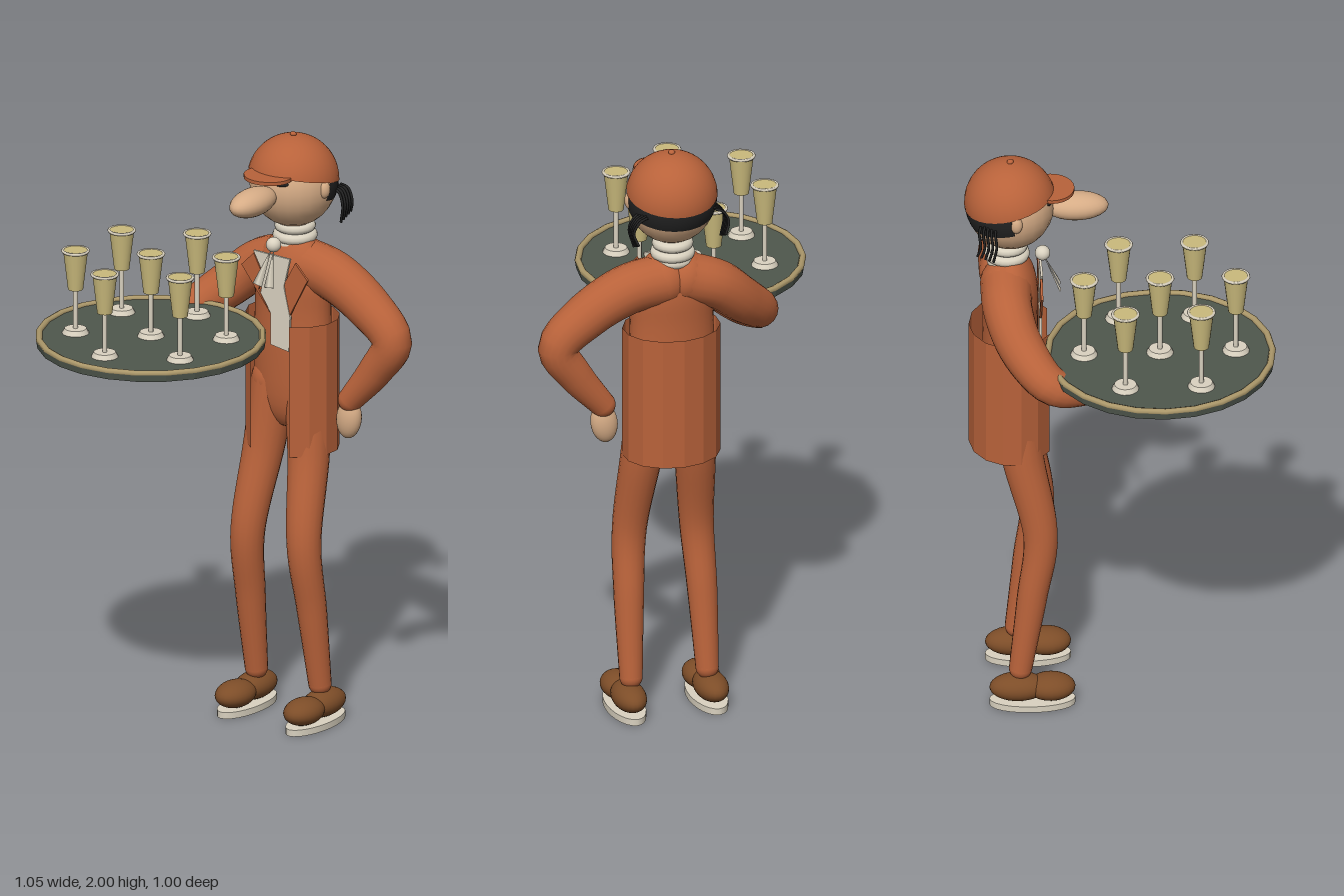
import * as THREE from 'three';

const flat = (name, color, extra = {}) => {
  const m = new THREE.MeshStandardMaterial({ color, ...extra });
  m.name = name;
  return m;
};
const V = (x, y, z) => new THREE.Vector3(x, y, z);

// Figure axis
const CX = 0.065, CZ = -0.355;

export function createModel() {
  const root = new THREE.Group();
  root.name = 'waiter';
  const orange = flat('orange cloth', 0xb8623a);
  const coatCloth = flat('orange coat', 0xb8623a, { side: THREE.DoubleSide, flatShading: true });
  const skin = flat('skin', 0xd6ac86);
  const brown = flat('shoe brown', 0x7d4d28);
  const cream = flat('cream', 0xdad2c0);
  const black = flat('hair black', 0x222222);
  const green = flat('tray green', 0x4f574d, { flatShading: true });
  const brass = flat('tray rim', 0xac986a);
  const wine = flat('sparkling wine', 0xcaba7c);

  const add = (name, geo, mat, pos = [0, 0, 0], parent = root) => {
    const m = new THREE.Mesh(geo, mat);
    m.name = name;
    m.position.set(...pos);
    parent.add(m);
    return m;
  };
  const ball = (name, mat, pos, radii, parent = root) => {
    const m = add(name, new THREE.SphereGeometry(1, 24, 16), mat, pos, parent);
    m.scale.set(...radii);
    return m;
  };

  // Tapered limb: a tube whose rings are rescaled along the path, with rounded ends
  const limb = (name, mat, pts, radii) => {
    const g = new THREE.Group();
    g.name = name;
    root.add(g);
    const n = 28, sides = 18;
    const curve = new THREE.CatmullRomCurve3(pts);
    const geo = new THREE.TubeGeometry(curve, n, 1, sides);
    const p = geo.attributes.position, v = new THREE.Vector3();
    for (let i = 0; i <= n; i++) {
      const c = curve.getPointAt(i / n);
      const f = (i / n) * (radii.length - 1), k = Math.min(Math.floor(f), radii.length - 2);
      const r = THREE.MathUtils.lerp(radii[k], radii[k + 1], f - k);
      for (let j = 0; j <= sides; j++) {
        const id = i * (sides + 1) + j;
        v.fromBufferAttribute(p, id).sub(c).multiplyScalar(r).add(c);
        p.setXYZ(id, v.x, v.y, v.z);
      }
    }
    add(name + 'Sleeve', geo, mat, [0, 0, 0], g);
    [[pts[0], radii[0]], [pts.at(-1), radii.at(-1)]].forEach(([c, r]) =>
      ball(name + 'End', mat, c.toArray(), [r, r, r], g));
  };

  // Torso
  const profile = [[0, 0.99], [0.08, 1.0], [0.135, 1.08], [0.145, 1.25], [0.14, 1.4],
    [0.142, 1.5], [0.12, 1.58], [0.065, 1.64], [0, 1.66]].map(a => new THREE.Vector2(...a));
  const torso = add('torso', new THREE.LatheGeometry(
    new THREE.SplineCurve(profile).getPoints(32).map(q => q.set(Math.max(q.x, 0), q.y)), 28), orange, [CX, 0, CZ]);
  torso.scale.z = 0.64;

  // Shirt front and lapels
  const plate = (name, pts, mat, z) => add(name, new THREE.ExtrudeGeometry(
    new THREE.Shape(pts.map(a => new THREE.Vector2(...a))), { depth: 0.008, bevelEnabled: false }), mat, [0, 0, z]);
  plate('shirtFront', [[0.05, 1.29], [0.125, 1.28], [0.13, 1.4], [0.105, 1.5], [0.13, 1.6],
    [-0.02, 1.6], [0.025, 1.52], [0.01, 1.46], [0.05, 1.4]], cream, -0.26);
  plate('rightLapel', [[0.045, 1.4], [0.0, 1.47], [0.018, 1.52], [-0.02, 1.59], [-0.07, 1.54]], orange, -0.262);
  plate('leftLapel', [[0.125, 1.4], [0.2, 1.54], [0.15, 1.59], [0.105, 1.51]], orange, -0.262);

  // Wrap-around coat skirt, open at the front
  const coat = add('coatSkirt', new THREE.CylinderGeometry(1, 1, 0.45, 12, 1, true, 0.5, Math.PI * 2 - 1),
    coatCloth, [CX, 1.15, -0.352]);
  coat.scale.set(0.162, 1, 0.138);

  // Arms and hands
  limb('leftArm', orange, [V(0.1, 1.55, -0.37), V(0.22, 1.53, -0.37), V(0.36, 1.455, -0.37),
    V(0.458, 1.355, -0.37), V(0.4, 1.25, -0.365), V(0.3, 1.125, -0.355)],
  [0.085, 0.082, 0.076, 0.066, 0.056, 0.042]);
  ball('leftHand', skin, [0.295, 1.06, -0.353], [0.045, 0.07, 0.034]).rotation.z = -0.15;
  limb('rightArm', orange, [V(0.03, 1.55, -0.37), V(-0.08, 1.51, -0.37), V(-0.18, 1.425, -0.33),
    V(-0.272, 1.335, -0.235), V(-0.24, 1.3, -0.13), V(-0.18, 1.293, 0.03)],
  [0.085, 0.08, 0.074, 0.062, 0.05, 0.038]);
  ball('rightHand', skin, [-0.155, 1.297, 0.09], [0.045, 0.036, 0.068]).rotation.x = 0.2;

  // Legs and shoes
  for (const [side, s] of [['left', 1], ['right', -1]]) {
    limb(side + 'Leg', orange, [V(CX + s * 0.066, 1.14, -0.345), V(CX + s * 0.09, 0.92, -0.32),
      V(CX + s * 0.115, 0.62, -0.262), V(CX + s * 0.125, 0.4, -0.29), V(CX + s * 0.13, 0.13, -0.328)],
    [0.078, 0.068, 0.057, 0.049, 0.038]);
    const x = CX + s * 0.14;
    ball(side + 'ShoeToe', brown, [x, 0.064, -0.23], [0.06, 0.044, 0.08]);
    ball(side + 'ShoeHeel', brown, [x, 0.066, -0.335], [0.055, 0.046, 0.095]);
    const sole = add(side + 'Sole', new THREE.CylinderGeometry(1, 1, 0.022, 24), cream, [x, 0.011, -0.29]);
    sole.scale.set(0.06, 1, 0.14);
  }

  // Neck, scarf rings, knot and tails
  add('neck', new THREE.CylinderGeometry(0.045, 0.05, 0.14, 20), skin, [CX, 1.65, -0.36]);
  [[1.675, 0.05], [1.642, 0.056], [1.618, 0.05]].forEach(([y, r]) =>
    add('scarfRing', new THREE.TorusGeometry(r, 0.018, 10, 24).rotateX(Math.PI / 2), cream, [CX, y, -0.365]));
  ball('scarfKnot', cream, [CX, 1.638, -0.25], [0.025, 0.025, 0.025]);
  for (const s of [-1, 1]) {
    const tail = add('scarfTail', new THREE.ConeGeometry(0.02, 0.13, 4), cream, [CX + s * 0.014, 1.568, -0.22]);
    tail.scale.z = 0.2;
    tail.rotation.set(-0.42, 0, s * 0.15);
  }

  // Head
  ball('head', skin, [CX, 1.826, CZ], [0.143, 0.146, 0.143]);
  ball('nose', skin, [CX, 1.816, -0.14], [0.055, 0.046, 0.105]);
  const cap = new THREE.Group();
  cap.name = 'cap';
  cap.position.set(CX, 1.838, CZ);
  cap.rotation.x = -0.22;
  root.add(cap);
  add('capDome', new THREE.SphereGeometry(0.15, 32, 14, 0, Math.PI * 2, 0, Math.PI / 2 - 0.1), orange, [0, 0, 0], cap);
  add('capUnderside', new THREE.CircleGeometry(0.149, 32).rotateX(Math.PI / 2), orange, [0, 0.015, 0], cap);
  ball('capButton', orange, [0, 0.149, 0.033], [0.011, 0.008, 0.011], cap);
  const brim = add('capBrim', new THREE.CylinderGeometry(1, 1, 0.012, 24), orange, [CX, 1.882, -0.222]);
  brim.scale.set(0.083, 1, 0.076);

  // Hair band across the back of the head
  add('hairBand', new THREE.SphereGeometry(0.148, 28, 6, Math.PI, Math.PI, 1.38, 0.5), black, [CX, 1.836, CZ])
    .rotation.x = -0.2;
  for (const s of [-1, 1]) {
    ball('ear', skin, [CX + s * 0.138, 1.832, -0.342], [0.018, 0.03, 0.02]);
    ball('eye', black, [CX + s * 0.048, 1.864, -0.227], [0.026, 0.01, 0.008]).rotation.y = s * 0.35;
    // Wispy strands hanging behind each ear
    for (let i = 0; i < 5; i++) {
      const z = -0.405 - i * 0.013;
      const strand = new THREE.CatmullRomCurve3([V(CX + s * 0.115, 1.815, z), V(CX + s * 0.142, 1.805, z - 0.006),
        V(CX + s * 0.162, 1.765, z - 0.002), V(CX + s * 0.148, 1.7 + i * 0.006, z - 0.012)]);
      add('hairStrand', new THREE.TubeGeometry(strand, 12, 0.0045, 6), black);
    }
  }

  // Serving tray
  const tray = new THREE.Group();
  tray.name = 'tray';
  tray.position.set(-0.153, 1.355, 0.121);
  root.add(tray);
  add('trayPlate', new THREE.CylinderGeometry(0.376, 0.372, 0.026, 24), green, [0, 0.013, 0], tray);
  add('trayRim', new THREE.TorusGeometry(0.366, 0.011, 8, 24).rotateX(Math.PI / 2).rotateY(Math.PI / 2),
    brass, [0, 0.026, 0], tray);

  // Seven glasses: one in the middle, six around it
  for (let i = 0; i < 7; i++) {
    const a = (i * Math.PI) / 3, r = i === 6 ? 0 : 0.247;
    const glass = new THREE.Group();
    glass.name = 'glass';
    glass.position.set(Math.sin(a) * r, 0.026, Math.cos(a) * r);
    tray.add(glass);
    add('glassFoot', new THREE.CylinderGeometry(0.036, 0.044, 0.016, 18), cream, [0, 0.008, 0], glass);
    add('glassStem', new THREE.CylinderGeometry(0.008, 0.008, 0.14, 8), cream, [0, 0.085, 0], glass);
    add('glassBowl', new THREE.CylinderGeometry(0.041, 0.025, 0.135, 18), wine, [0, 0.218, 0], glass);
    add('glassRim', new THREE.TorusGeometry(0.042, 0.005, 6, 18).rotateX(Math.PI / 2), cream, [0, 0.283, 0], glass);
  }
  return root;
}
